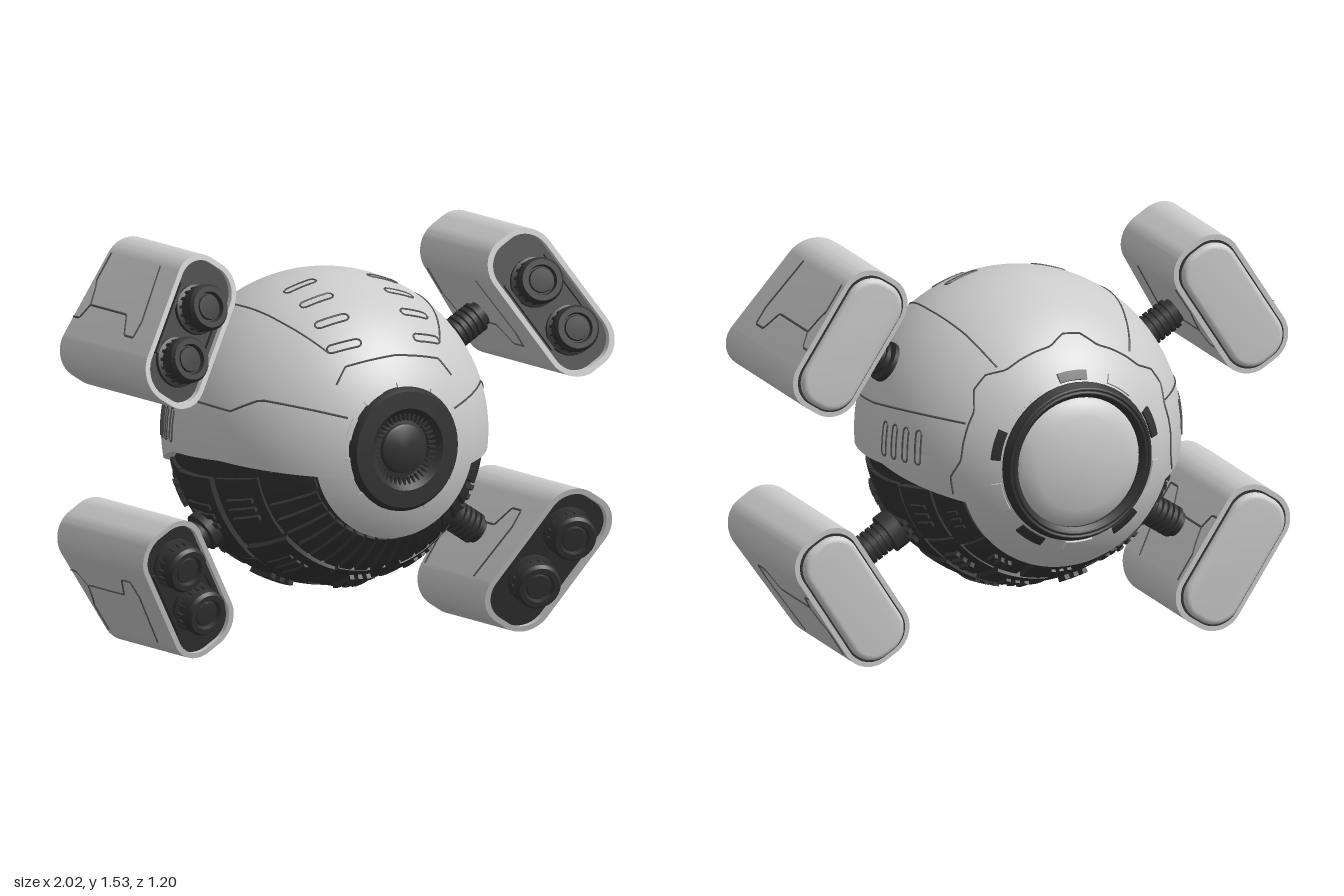
import * as THREE from 'three';
import { toCreasedNormals } from 'three/addons/utils/BufferGeometryUtils.js';

const light = new THREE.MeshStandardMaterial({ color: 0xcccccc });
const dark = new THREE.MeshStandardMaterial({ color: 0x333333 });
const line = new THREE.MeshStandardMaterial({ color: 0x555555 });
const R = 0.612, DEG = Math.PI / 180;

function add(parent, name, geo, mat) {
  const m = new THREE.Mesh(geo, mat);
  m.name = name;
  parent.add(m);
  return m;
}

// Turned part whose axis points along +z
function turned(profile, sides = 32) {
  const pts = profile.map(([x, y]) => new THREE.Vector2(x, y));
  return toCreasedNormals(new THREE.LatheGeometry(pts, sides).rotateX(Math.PI / 2), 0.6);
}

// Thick piece of a sphere shell: theta runs from the front pole, phi around z
function patch(t0, t1, phi0, phi1, r0, r1, nt = 6, np = 6) {
  const g = new THREE.BoxGeometry(1, 1, 1, nt, np, 1), p = g.attributes.position;
  const at = (f, t) => (typeof f === 'function' ? f(t) : f * DEG);
  for (let i = 0; i < p.count; i++) {
    const t = (t0 + (t1 - t0) * (p.getX(i) + 0.5)) * DEG;
    const a = at(phi0, t), b = at(phi1, t), ph = a + (b - a) * (p.getY(i) + 0.5);
    const r = p.getZ(i) > 0 ? r1 : r0;
    p.setXYZ(i, r * Math.sin(t) * Math.cos(ph), r * Math.sin(t) * Math.sin(ph), r * Math.cos(t));
  }
  g.computeVertexNormals();
  return g;
}

// Polyline, optionally pushed onto a sphere, as a thin seam
class Seam extends THREE.Curve {
  constructor(pts, radius) { super(); this.pts = pts; this.radius = radius; }
  getPoint(t, out = new THREE.Vector3()) {
    const n = this.pts.length - 1, k = Math.min(Math.floor(t * n), n - 1);
    out.lerpVectors(this.pts[k], this.pts[k + 1], t * n - k);
    return this.radius ? out.setLength(this.radius) : out;
  }
}
function seam(parent, name, pts, radius, steps = 40) {
  const v = pts.map((q) => (q.isVector3 ? q : new THREE.Vector3(...q)));
  return add(parent, name, new THREE.TubeGeometry(new Seam(v, radius), steps, 0.0045, 4), line);
}

// Stadium outline lying on the sphere
function slot(parent, center, along, half, rad) {
  const c = new THREE.Vector3(...center).setLength(R);
  const u = new THREE.Vector3(...along).projectOnPlane(c).normalize();
  const v = c.clone().normalize().cross(u), pts = [];
  for (let i = 0; i <= 10; i++) {
    const k = i % 10, a = (k < 5 ? -90 + k * 45 : 90 + (k - 5) * 45) * DEG;
    pts.push(c.clone().addScaledVector(u, (k < 5 ? half : -half) + rad * Math.cos(a)).addScaledVector(v, rad * Math.sin(a)));
  }
  seam(parent, 'slot', pts, R, 40);
}

// Lower edge of the side armour
function edge(t) {
  const z = R * Math.cos(t);
  const drop = z < -0.1 ? 0.05 + 0.27 * (-0.1 - z) : 0.05 + 0.13 * Math.max(0, z - 0.2);
  return -Math.asin(Math.min(1, drop / (R * Math.sin(t))));
}

function makeBody() {
  const body = new THREE.Group();
  body.name = 'body';
  add(body, 'core', new THREE.SphereGeometry(0.568, 48, 32), dark);

  // Outer armour: upper shell and the two lower collars
  const right = (t) => Math.PI - edge(t), end = (t) => 2 * Math.PI + edge(t);
  add(body, 'upperShell', patch(21, 151, edge, right, 0.555, R, 48, 56), light);
  add(body, 'frontCollar', patch(21, 34.5, right, end, 0.555, R, 6, 48), light);
  add(body, 'backCollar', patch(135, 151, right, end, 0.555, R, 6, 48), light);

  // Front eye
  add(body, 'eye', turned([[0.235, 0.5], [0.235, 0.575], [0.22, 0.598], [0.155, 0.602], [0.145, 0.592],
    [0.105, 0.55], [0.095, 0.55], [0.092, 0.575], [0.08, 0.582], [0, 0.586]], 48), dark);
  for (let i = 0; i < 40; i++) {
    const a = i * 9 * DEG;
    const b = add(body, 'eyeTick', new THREE.BoxGeometry(0.035, 0.007, 0.02), dark);
    b.position.set(0.125 * Math.cos(a), 0.125 * Math.sin(a), 0.573);
    b.rotation.z = a;
  }
  for (let i = 0; i < 10; i++) {
    add(body, 'eyeTab', patch(21.5, 24, i * 36 + 4, i * 36 + 24, 0.6, 0.62), light);
    add(body, 'backTab', patch(146, 149.5, i * 36 + 6, i * 36 + 26, 0.6, 0.62), i % 2 ? light : dark);
  }

  // Rear ring and dome
  const ring = turned([[0.3, 0.48], [0.305, 0.54], [0.29, 0.565], [0.265, 0.57], [0.25, 0.555], [0.245, 0.5]], 48);
  add(body, 'rearRing', ring, dark).rotation.y = Math.PI;
  const dome = turned([[0.25, 0.5], [0.25, 0.545], [0.235, 0.563], [0.18, 0.582], [0.1, 0.598], [0, 0.603]], 48);
  add(body, 'rearDome', dome, light).rotation.y = Math.PI;
  for (const r of [0.285, 0.27]) {
    add(body, 'rearRib', new THREE.TorusGeometry(r, 0.007, 6, 48), dark).position.z = -0.567;
  }

  // Dark underside: front slats, belly panels and vents
  for (let i = 0; i < 16; i++) add(body, 'frontSlat', patch(37, 56, 206 + i * 8, 212 + i * 8, 0.55, 0.59), dark);
  const rows = [[58, 78, 5], [80, 103, 4], [105, 120, 6], [121, 133, 5]];
  rows.forEach(([t0, t1, n], k) => {
    const step = 156 / n;
    for (let i = 0; i < n; i++) {
      const p = 192 + i * step;
      add(body, 'bellyPanel', patch(t0, t1, p + 1, p + step - 1, 0.55, 0.582 + 0.008 * ((i + k) % 2), 8, 10), dark);
      for (let j = 0; j < 3; j++) {
        const q = p + step * 0.3 + j * 4;
        add(body, 'vent', patch(t0 + 4, t1 - 4, q, q + 2, 0.57, 0.6, 4, 1), dark);
      }
    }
  });
  for (const p of [190, 336]) add(body, 'sideBracket', patch(36, 52, p, p + 14, 0.55, 0.598), dark);

  // Slots and panel lines
  for (const s of [-1, 1]) {
    for (const z of [0.12, 0.24, 0.35, 0.44]) {
      slot(body, [s * 0.18, Math.sqrt(R * R - z * z - 0.0324), z], [1, 0, 0], 0.052, 0.017);
    }
    for (const z of [-0.115, -0.172, -0.229, -0.286]) {
      slot(body, [s * Math.sqrt(R * R - z * z - 0.0025), 0.05, z], [0, 1, 0], 0.053, 0.013);
    }
    seam(body, 'topSeam', [[s * 0.24, 0.36, 0.43], [s * 0.33, 0.46, 0.25], [s * 0.36, 0.49, 0],
      [s * 0.33, 0.46, -0.25], [s * 0.27, 0.36, -0.41]], R);
    seam(body, 'sideSeam', [[s * 0.23, 0.13, 0.55], [s * 0.48, 0.19, 0.33], [s * 0.55, 0.14, 0.23],
      [s * 0.59, 0.16, 0], [s * 0.4, 0.16, -0.42]], R);
    seam(body, 'browSeam', [[s * 0.25, 0.25, 0.5], [s * 0.2, 0.31, 0.48], [s * 0.12, 0.33, 0.5], [0, 0.34, 0.5]], R);
  }
  const back = [];
  for (let i = 0; i <= 24; i++) {
    const a = (-14 + i * 208 / 24) * DEG, r = i % 6 < 2 ? 0.46 : 0.43;
    back.push([r * Math.cos(a), r * Math.sin(a), -Math.sqrt(R * R - r * r)]);
  }
  seam(body, 'rearSeam', back, R, 96);
  return body;
}

function roundedRect(w, h, r, Kind = THREE.Shape) {
  const s = new Kind();
  s.absarc(w - r, h - r, r, 0, Math.PI / 2);
  s.absarc(r - w, h - r, r, Math.PI / 2, Math.PI);
  s.absarc(r - w, r - h, r, Math.PI, 1.5 * Math.PI);
  s.absarc(w - r, r - h, r, 1.5 * Math.PI, 2 * Math.PI);
  s.closePath();
  return s;
}

// Extrude from z0 to z1, with the front end slanted along y
const SLANT = 0.3;
function slanted(shape, z0, z1) {
  const g = new THREE.ExtrudeGeometry(shape, { depth: z1 - z0, bevelEnabled: false, curveSegments: 10 });
  g.translate(0, 0, z0);
  const p = g.attributes.position;
  for (let i = 0; i < p.count; i++) if (p.getZ(i) > 0) p.setZ(i, p.getZ(i) + SLANT * p.getY(i));
  return toCreasedNormals(g, 0.5);
}

// Thruster pod: local +y is its long outer end, s is the outward side in x
function makePod(s) {
  const pod = new THREE.Group();
  pod.name = 'pod';
  const casing = roundedRect(0.14, 0.29, 0.115);
  casing.holes.push(roundedRect(0.12, 0.27, 0.098, THREE.Path));
  add(pod, 'casing', slanted(casing, -0.265, 0.335), light);
  add(pod, 'innerBlock', slanted(roundedRect(0.121, 0.271, 0.099), -0.27, 0.31), dark);
  const cap = new THREE.ExtrudeGeometry(roundedRect(0.095, 0.245, 0.08), {
    depth: 0.02, bevelThickness: 0.02, bevelSize: 0.02, bevelSegments: 4, curveSegments: 10 });
  add(pod, 'backPanel', toCreasedNormals(cap.translate(0, 0, -0.275), 0.6), light);

  // Twin nozzles with ribbed necks
  for (const y of [0.13, -0.085]) {
    const nozzle = new THREE.Group();
    nozzle.name = 'nozzle';
    nozzle.position.set(0, y, 0.31 + SLANT * y);
    nozzle.rotation.x = Math.atan(SLANT);
    add(nozzle, 'nozzleBody', turned([[0.095, -0.03], [0.095, 0.015], [0.078, 0.02], [0.078, 0.05], [0.088, 0.055],
      [0.088, 0.085], [0.078, 0.098], [0.058, 0.098], [0.053, 0.08], [0.048, 0.08], [0.045, 0.09], [0, 0.092]]), dark);
    for (let i = 0; i < 16; i++) {
      const a = i * Math.PI / 8, rib = add(nozzle, 'nozzleRib', new THREE.BoxGeometry(0.012, 0.01, 0.04), dark);
      rib.position.set(0.08 * Math.cos(a), 0.08 * Math.sin(a), 0.035);
      rib.rotation.z = a;
    }
    pod.add(nozzle);
  }
  for (const x of [-0.1, 0.1]) {
    const bar = add(pod, 'faceBar', new THREE.BoxGeometry(0.012, 0.3, 0.02), dark);
    bar.position.set(x, 0, 0.315);
    bar.rotation.x = Math.atan(SLANT);
  }

  // Panel lines on the broad faces
  for (const x of [s * 0.14, -s * 0.14]) {
    seam(pod, 'frontSeam', [[x, -0.175, 0.14], [x, 0.05, 0.22], [x, 0.12, 0.22], [x, 0.12, 0.15], [x, 0.04, 0.09],
      [x, 0.04, -0.19], [x, 0.1, -0.22], [x, 0.1, -0.265]], 0, 70);
    seam(pod, 'backSeam', [[x, -0.175, -0.24], [x, -0.06, -0.24], [x, -0.03, -0.22], [x, 0.04, -0.19]], 0, 30);
  }
  return pod;
}

// Ribbed arm running inward from the pod
function makeArm() {
  const profile = [[0.05, 0], [0.05, 0.03]];
  for (let i = 0; i < 5; i++) {
    const y = 0.03 + i * 0.025;
    profile.push([0.062, y], [0.062, y + 0.014], [0.048, y + 0.015], [0.048, y + 0.025]);
  }
  profile.push([0.078, 0.155], [0.078, 0.21], [0, 0.21]);
  return turned(profile, 24);
}

export function createModel() {
  const model = new THREE.Group();
  model.name = 'drone';
  const body = makeBody();
  body.position.set(-0.015, 0.79, 0);
  model.add(body);

  // Four pods on a slightly yawed frame
  const frame = new THREE.Group();
  frame.name = 'podFrame';
  frame.rotation.y = -0.042;
  model.add(frame);
  for (const sx of [-1, 1]) for (const sy of [-1, 1]) {
    const s = -sx * sy, pod = makePod(s);
    pod.position.set(sx * 0.767, sy > 0 ? 1.257 : 0.28, sy > 0 ? 0 : -0.02);
    pod.rotation.z = Math.atan2(-sx * 0.54, -sy * 0.84);
    const arm = add(pod, 'arm', makeArm(), dark);
    arm.position.set(-s * 0.13, 0, 0);
    arm.rotation.y = -s * Math.PI / 2;
    frame.add(pod);
  }
  return model;
}
